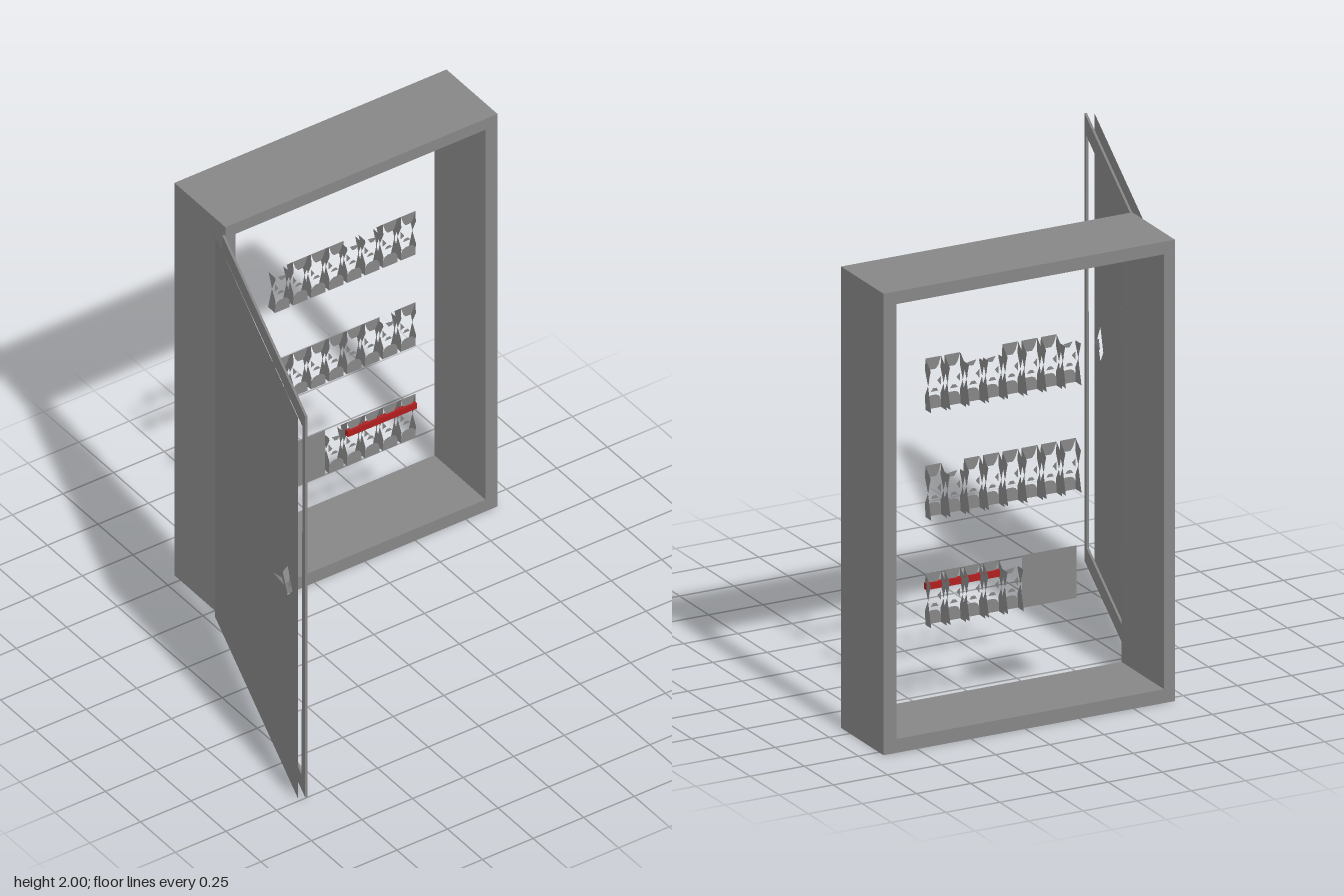
import * as THREE from 'three';

const steel = new THREE.MeshStandardMaterial({ color: 0x868686, side: THREE.DoubleSide, flatShading: true });
steel.name = 'grey steel';
const red = new THREE.MeshStandardMaterial({ color: 0xb01e1e, side: THREE.DoubleSide, flatShading: true });
red.name = 'red busbar';

const shapeOf = (pts) => new THREE.Shape(pts.map(([x, y]) => new THREE.Vector2(x, y)));
const rect = (x0, y0, x1, y1) => [[x0, y0], [x1, y0], [x1, y1], [x0, y1]];

function add(parent, name, geometry, material = steel) {
  const mesh = new THREE.Mesh(geometry, material);
  mesh.name = name;
  parent.add(mesh);
  return mesh;
}

// Thin sheet with an optional opening
function sheet(outline, hole) {
  const s = shapeOf(outline);
  if (hole) s.holes.push(shapeOf(hole));
  return new THREE.ShapeGeometry(s, 6);
}

// Rectangular frame with depth
function frame(outline, hole, depth) {
  const s = shapeOf(outline);
  s.holes.push(shapeOf(hole));
  return new THREE.ExtrudeGeometry(s, { depth, bevelEnabled: false });
}

// Flat polygon from corner points in space
function plate(points) {
  const index = [];
  for (let i = 1; i < points.length - 1; i++) index.push(0, i, i + 1);
  const g = new THREE.BufferGeometry();
  g.setAttribute('position', new THREE.Float32BufferAttribute(points.flat(), 3));
  g.setIndex(index);
  g.computeVertexNormals();
  return g;
}

// One breaker: arched lower cover, tapered upper cover, thin side cheeks
function makeBreaker(tall, fragment) {
  const b = new THREE.Group();
  b.name = 'breaker';
  const w = 0.036;

  const arch = [[-w, 0], [w, 0], [w, 0.035], [0.026, 0.052], [0.012, 0.058],
    [-0.012, 0.058], [-0.026, 0.052], [-w, 0.035]];
  if (!fragment || tall) add(b, 'lowerCover', sheet(arch));

  const upper = tall
    ? [[-w, 0.222], [-0.024, 0.186], [-0.012, 0.17], [0.014, 0.17], [0.024, 0.186], [w, 0.222]]
    : [[-0.022, 0.178], [-0.008, 0.155], [0.008, 0.155], [0.022, 0.172]];
  add(b, 'upperCover', sheet(upper));

  // slivers around the switch opening
  add(b, 'lowerLip', sheet([[-0.018, 0.078], [0.018, 0.078], [0.008, 0.092], [-0.008, 0.092]])).position.z = -0.012;
  for (const s of [-1, 1]) {
    add(b, 'switchGuard', plate([[s * 0.03, 0.1, -0.01], [s * 0.018, 0.118, 0], [s * 0.03, 0.138, -0.01]]));
    add(b, 'sideCheek', plate([
      [s * w, 0, -0.05], [s * w, 0, 0], [s * w, 0.06, 0.004], [s * w, 0.11, -0.022]]));
    add(b, 'sideCheek', plate([
      [s * w, 0.11, -0.022], [s * w, 0.17, 0.004], [s * w, tall ? 0.222 : 0.18, 0], [s * w, 0.18, -0.045]]));
  }
  return b;
}

export function createModel() {
  const model = new THREE.Group();
  model.name = 'electricalCabinet';

  // Open cabinet surround
  add(model, 'cabinetFrame', frame(rect(-0.44, 0, 0.905, 2), rect(-0.39, 0.06, 0.845, 1.945), 0.365))
    .position.z = -0.79;

  // Swung-open door, local x runs away from the hinge
  const door = new THREE.Group();
  door.name = 'door';
  door.position.set(-0.45, 0, -0.425);
  door.rotation.y = -1.907;
  model.add(door);
  const cx = 1.11, cy = 1.02;
  const panel = sheet(rect(0, 0.025, 1.27, 1.965),
    [[cx - 0.075, cy - 0.01], [cx, cy - 0.075], [cx + 0.075, cy], [cx, cy + 0.075]]);
  add(door, 'doorPanel', panel).position.z = 0.035;
  add(door, 'doorInnerFlange', frame(
    rect(0, 0.025, 1.27, 1.965),
    [[0.06, 0.1], [1.215, 0.1], [1.23, 1.885], [0.055, 1.885]], 0.01)).position.z = -0.005;

  // Lock fragments in the diamond opening
  add(door, 'lockHandle', plate([[cx, cy - 0.02, 0.05], [cx - 0.05, cy - 0.02, 0.045], [cx - 0.025, cy + 0.035, 0.09]]));
  add(door, 'lockTongue', plate([[cx + 0.01, cy - 0.03, 0.035], [cx + 0.03, cy, 0.015], [cx + 0.01, cy + 0.02, 0.03]]));

  // Hinges bridging the frame and door
  for (const y of [0.49, 1.52]) {
    const hinge = new THREE.Group();
    hinge.name = 'hinge';
    hinge.position.y = y;
    model.add(hinge);
    add(hinge, 'hingeDoorLeaf', plate([
      [-0.465, -0.08, -0.365], [-0.44, -0.045, -0.42], [-0.44, 0.03, -0.42], [-0.465, 0.075, -0.365]]));
    add(hinge, 'hingeFrameLeaf', plate([
      [-0.44, -0.045, -0.42], [-0.385, -0.08, -0.423], [-0.385, 0.075, -0.423], [-0.44, 0.03, -0.42]]));
    add(hinge, 'hingeInnerTab', plate([
      [-0.386, -0.08, -0.423], [-0.386, -0.06, -0.46], [-0.386, 0.05, -0.46], [-0.386, 0.075, -0.423]]));
  }

  // Breaker rows, 1 = tall cover, 0 = short cover
  const rows = [
    { y: 1.357, covers: [0, 1, 1, 1, 0, 0, 1, 1], first: 0 },
    { y: 0.892, covers: [1, 1, 1, 1, 1, 1, 0, 1], first: 0 },
    { y: 0.425, covers: [0, 0, 0, 0, 1, 1, 1, 1], first: 3 },
  ];
  for (const { y, covers, first } of rows) {
    const row = new THREE.Group();
    row.name = 'breakerRow';
    model.add(row);
    covers.forEach((tall, i) => {
      if (i < first) return;
      const b = makeBreaker(tall === 1, false);
      b.position.set(-0.083 + i * 0.0888, y, -0.535);
      row.add(b);
    });
  }

  // Blank cover beside the lowest row
  add(model, 'blankCover', sheet(rect(-0.12, 0.422, 0.132, 0.65))).position.z = -0.54;

  // Red linking bar
  const bar = add(model, 'busbar', new THREE.BoxGeometry(0.34, 0.028, 0.02), red);
  bar.position.set(0.405, 0.592, -0.535);

  return model;
}
